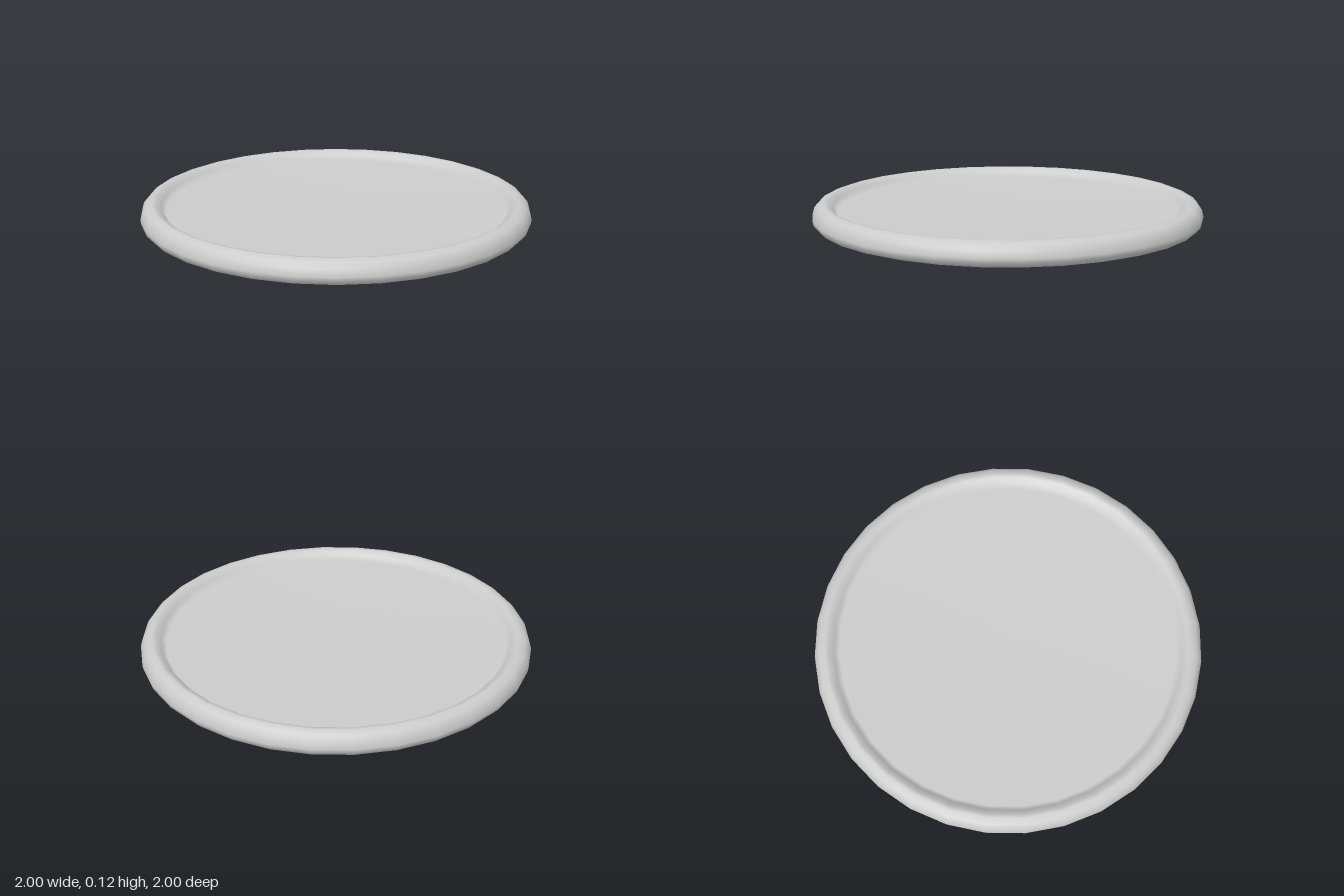
import * as THREE from 'three';

// Shallow round plate: one lathed profile with a rolled rim
export function createModel() {
  const group = new THREE.Group();
  group.name = 'plate';
  const material = new THREE.MeshStandardMaterial({ color: 0xcccccc });

  // Radius and height, from the underside around the rim to the floor's centre
  const profile = [
    [0, 0], [0.95, 0], [0.98, 0.01], [0.997, 0.03], [1, 0.05], [0.99, 0.085],
    [0.97, 0.108], [0.94, 0.12], [0.92, 0.117], [0.895, 0.097], [0.87, 0.07], [0, 0.062],
  ].map(([r, y]) => new THREE.Vector2(r, y));

  const dish = new THREE.Mesh(new THREE.LatheGeometry(profile, 32), material);
  dish.name = 'dish';
  group.add(dish);
  return group;
}
